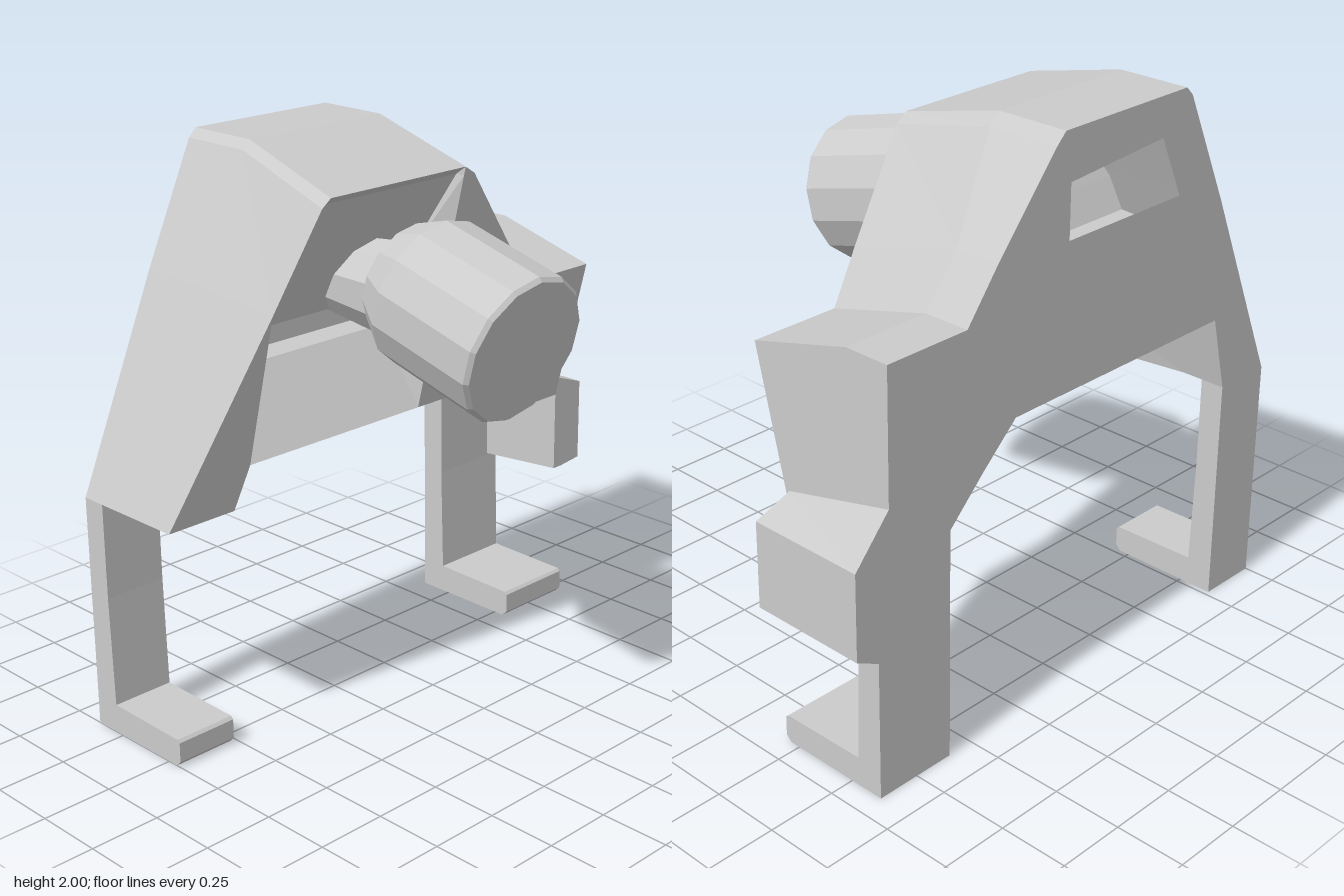
import * as THREE from 'three';

const BACK = -0.63;
const material = new THREE.MeshStandardMaterial({ color: 0xcccccc, flatShading: true, side: THREE.DoubleSide });

// Depth of the tilted front plane at a given height
const frontZ = (y) => -0.19 + 0.25 * (y - 0.84);

function add(group, name, geometry) {
  const mesh = new THREE.Mesh(geometry, material);
  mesh.name = name;
  group.add(mesh);
  return mesh;
}

// Skin through rows of [x, y, z] points
function loft(rows, closed = true) {
  const pos = [];
  for (let r = 0; r < rows.length - 1; r++) {
    const n = rows[r].length;
    for (let i = 0; i < (closed ? n : n - 1); i++) {
      const j = (i + 1) % n;
      const a = rows[r][i], b = rows[r][j], c = rows[r + 1][j], d = rows[r + 1][i];
      pos.push(...a, ...b, ...c, ...a, ...c, ...d);
    }
  }
  const g = new THREE.BufferGeometry();
  g.setAttribute('position', new THREE.Float32BufferAttribute(pos, 3));
  g.computeVertexNormals();
  return g;
}

const shapeOf = (pts) => new THREE.Shape(pts.map(([x, y]) => new THREE.Vector2(x, y)));

// Flat face whose depth follows zOf(y)
function face(pts, zOf, hole) {
  const shape = shapeOf(pts);
  if (hole) shape.holes.push(shapeOf(hole));
  const g = new THREE.ShapeGeometry(shape);
  const p = g.attributes.position;
  for (let i = 0; i < p.count; i++) p.setZ(i, zOf(p.getY(i)));
  if (zOf(0) === BACK) g.setIndex(Array.from(g.index.array).reverse());
  g.computeVertexNormals();
  return g;
}

export function createModel() {
  const model = new THREE.Group();

  // Body outline, counter-clockwise: at the back and at the front plane
  const back = [
    [-1, 0.84], [-0.77, 0.84], [-0.7, 1.12], [0.31, 1.12], [0.46, 0.98], [0.6, 0.84],
    [0.86, 0.84], [0.86, 1.49], [0.53, 1.49], [0.4, 1.66], [0.15, 1.96], [0.11, 2],
    [-0.47, 2], [-0.5, 1.97], [-0.69, 1.56],
  ];
  const front = [
    [-1, 0.84], [-0.73, 0.84], [-0.69, 1], [0.4, 1], [0.53, 0.94], [0.6, 0.84],
    [0.86, 0.84], [0.86, 1.38], [0.53, 1.38], [0.4, 1.54], [0.13, 1.86], [0.08, 1.89],
    [-0.52, 1.89], [-0.55, 1.86], [-0.69, 1.53],
  ];
  const midZ = (y) => (y > 1.8 ? -0.36 : -0.46);
  add(model, 'bodyShell', loft([
    back.map(([x, y]) => [x, y, BACK]),
    back.map(([x, y]) => [x, y, midZ(y)]),
    front.map(([x, y]) => [x, y, frontZ(y)]),
  ]));
  const rearWindow = [[-0.46, 1.64], [0.08, 1.64], [0.08, 1.83], [-0.36, 1.86]];
  add(model, 'backPanel', face(back, () => BACK, rearWindow));
  add(model, 'leftFrontPanel', face([[0.08, 1], ...front.slice(3, 12)], frontZ));
  add(model, 'rightFrontPanel', face([front[0], front[1], front[2], front[14]], frontZ));

  // Recess rows: height, depth, right edge, left edge, outer right edge
  const recess = [
    [1, -0.15, -0.69, 0.08, -0.69],
    [1.26, -0.34, -0.69, 0.08, -0.69],
    [1.26, -0.45, -0.69, 0.08, -0.69],
    [1.4, -0.45, -0.69, 0, -0.69],
    [1.42, -0.22, -0.68, 0, -0.69],
    [1.53, -0.16, -0.68, 0.02, -0.69],
    [1.86, 0.03, -0.55, 0.08, -0.55],
    [1.89, 0.0725, -0.52, 0.08, -0.52],
  ];
  add(model, 'frontRecess', loft(recess.map(([y, z, x0, x1, e]) => [
    [e, y, frontZ(y)], [x0, y, z], [x1, y, z], [0.08, y, frontZ(y)],
  ]), false));

  // Barrel with tapered rear, tilted down towards the front
  const barrelProfile = [[0, 0], [0.245, 0], [0.257, 0.015], [0.257, 0.42], [0.19, 0.54], [0, 0.54]];
  const barrel = add(model, 'barrel', new THREE.LatheGeometry(
    barrelProfile.map(([r, h]) => new THREE.Vector2(r, h)), 14));
  barrel.rotation.x = -Math.PI / 2 + THREE.MathUtils.degToRad(15);
  barrel.position.set(-0.18, 1.43, 0.575);

  const neck = add(model, 'barrelNeck', new THREE.CylinderGeometry(0.13, 0.17, 0.36, 10));
  neck.rotation.x = -Math.PI / 2;
  neck.position.set(-0.18, 1.52, -0.09);

  // Legs with forward feet
  const legProfile = [
    [BACK, 0], [-0.21, 0], [-0.19, 0.02], [-0.19, 0.09], [-0.2, 0.1],
    [-0.53, 0.105], [-0.54, 0.5], [-0.54, 0.84], [BACK, 0.84],
  ];
  for (const [name, x0, x1] of [['rightLeg', -1, -0.77], ['leftLeg', 0.6, 0.91]]) {
    const g = new THREE.ExtrudeGeometry(shapeOf(legProfile), { depth: x1 - x0, bevelEnabled: false });
    g.rotateY(-Math.PI / 2);
    g.translate(x1, 0, 0);
    add(model, name, g);
  }

  // Side bracket on the left arm
  const bracketBack = [[0.86, 0.5], [0.9, 0.5], [1, 0.55], [1, 0.86], [0.86, 1.02]];
  const bracketFront = [[0.86, 0.54], [0.9, 0.54], [1, 0.55], [1, 0.86], [0.86, 0.91]];
  const bracket = new THREE.Group();
  bracket.name = 'sideBracket';
  add(bracket, 'bracketShell', loft([
    bracketBack.map(([x, y]) => [x, y, BACK]),
    bracketFront.map(([x, y]) => [x, y, -0.19]),
  ]));
  add(bracket, 'bracketBack', face(bracketBack, () => BACK));
  add(bracket, 'bracketFront', face(bracketFront, () => -0.19));
  model.add(bracket);

  return model;
}
